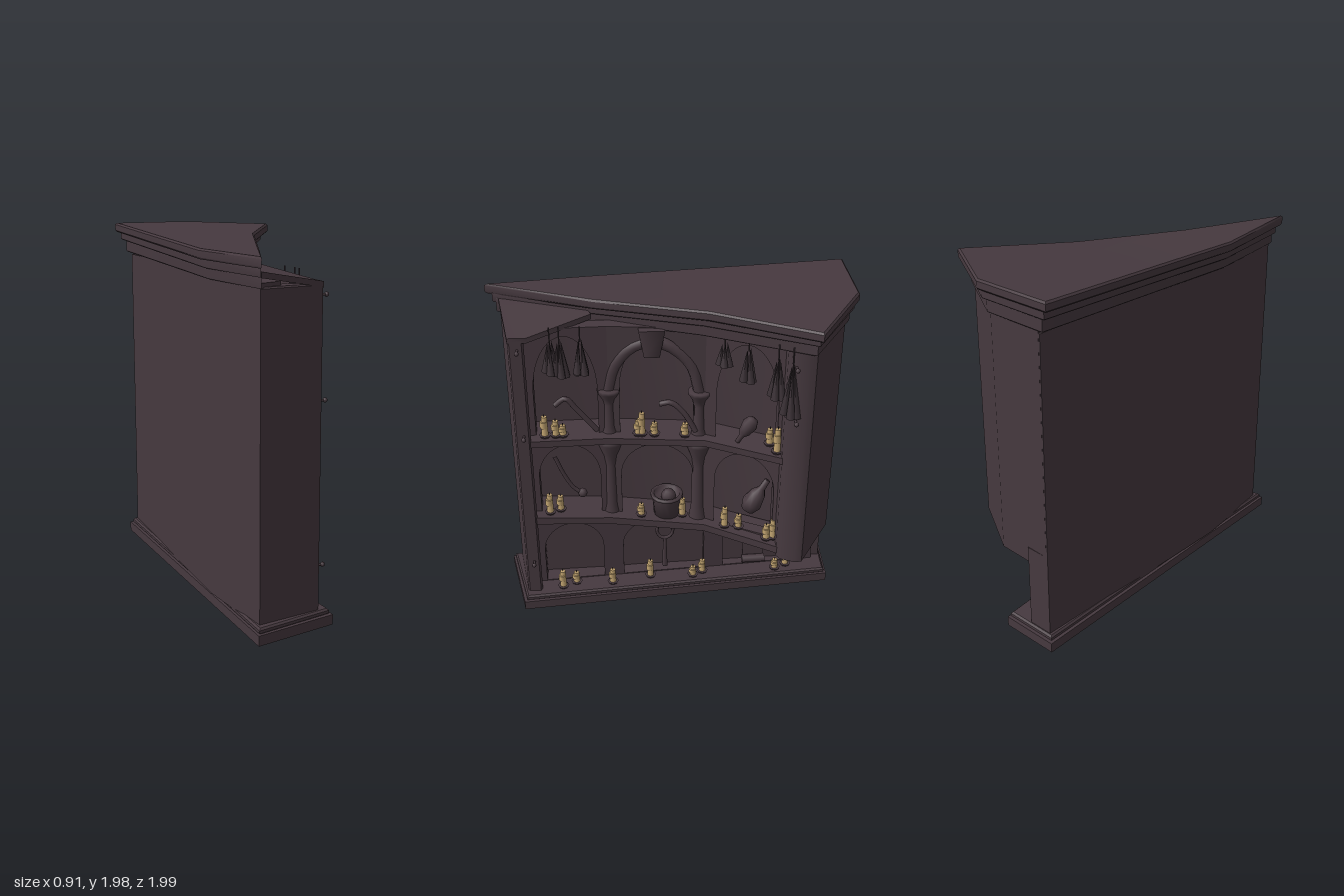
import * as THREE from 'three';
import { toCreasedNormals } from 'three/addons/utils/BufferGeometryUtils.js';

const mat = (name, color) => {
  const m = new THREE.MeshStandardMaterial({ color });
  m.name = name;
  return m;
};

export function createModel() {
  const root = new THREE.Group();
  root.name = 'crookedShelfCabinet';
  const wood = mat('dark plum wood', 0x46393f);
  const dark = mat('dried dark herbs', 0x3d3338);
  const wax = mat('candle wax', 0xc4a672);

  const add = (name, geo, material, x = 0, y = 0, z = 0, parent = root) => {
    const m = new THREE.Mesh(geo, material);
    m.name = name;
    m.position.set(x, y, z);
    parent.add(m);
    return m;
  };
  // Upright prism over a plan outline of [x, z] points, with optional lift(z, x), bevel and hole
  const prism = (name, pts, y0, y1, { lift = () => 0, bevel = 0, hole = null } = {}) => {
    const plan = (list) => list.map(([x, z]) => new THREE.Vector2(x, -z));
    const s = new THREE.Shape(plan(pts));
    if (hole) s.holes.push(new THREE.Path(plan(hole)));
    const g = new THREE.ExtrudeGeometry(s, {
      depth: y1 - y0 - 2 * bevel, bevelEnabled: bevel > 0,
      bevelSize: bevel, bevelOffset: -bevel, bevelThickness: bevel, bevelSegments: 1,
    });
    g.rotateX(-Math.PI / 2).translate(0, y0 + bevel, 0);
    const p = g.attributes.position;
    for (let i = 0; i < p.count; i++) p.setY(i, p.getY(i) + lift(p.getZ(i), p.getX(i)));
    g.computeVertexNormals();
    return add(name, toCreasedNormals(g, 0.65), wood);
  };

  // Front line of the bent upper case and of the straight lower case
  const knots = [[0.85, 0.04], [0.33, 0.02], [-0.2, 0.07], [-0.72, 0.33]];
  const upper = (z) => {
    let i = 0;
    while (i < 2 && z < knots[i + 1][0]) i++;
    const [z0, x0] = knots[i], [z1, x1] = knots[i + 1];
    return x0 + (x1 - x0) * (z - z0) / (z1 - z0);
  };
  const lower = (z) => 0.02 + 0.09 * z;
  const stations = [0.85, 0.33, -0.2, -0.64];
  const back = [[-0.37, -0.95], [-0.37, 0.4], [-0.31, 0.91]];

  // Plinth, hollow underneath
  prism('plinth', [[-0.41, -0.98], [-0.07, -0.98], [0.12, 0.87], [-0.34, 0.97]], 0, 0.055,
    { hole: [[-0.315, 0.935], [0.085, 0.845], [-0.1, -0.95], [-0.38, -0.95]] });
  prism('plinthMoulding', [[-0.395, -0.965], [-0.08, -0.965], [0.105, 0.855], [-0.33, 0.955]], 0.05, 0.085, { bevel: 0.01 });

  // Back walls, lower straight and upper bent
  prism('lowerBackWall', [...back, [lower(0.85) - 0.24, 0.85], [lower(-0.95) - 0.16, -0.95]], 0.07, 0.56);
  prism('upperBackWall', [...back, ...stations.map((z) => [upper(z) - 0.22, z]), [-0.1, -0.93]], 0.55, 1.79);

  // Hanging corner case and upright end panel
  prism('cornerCase', [[0.265, -0.6], [0.3, -0.62], [0.335, -0.7], [0.33, -0.74], [-0.02, -0.94],
    [-0.36, -0.95], [-0.33, -0.7], [0.05, -0.6]], 0.47, 1.86);
  prism('endPanel', [[-0.31, 0.91], [0.04, 0.85], [0.05, 0.84], [0.05, 0.775], [0.03, 0.765], [-0.31, 0.8]], 0.07, 1.77, { bevel: 0.008 });

  // Roof and stepped cornice, rising towards the back end
  const rise = (z) => Math.max(0, (0.4 - z) / 1.4) * 0.06;
  prism('roof', [[-0.46, -0.99], [0, -1], [0.45, -0.74], [0.13, -0.2], [-0.1, 0.4], [-0.34, 0.99], [-0.43, 0.4]],
    1.865, 1.92, { lift: rise, bevel: 0.01 });
  prism('upperCornice', [[-0.43, -0.975], [-0.01, -0.98], [0.4, -0.735], [0.09, -0.18], [-0.13, 0.38], [-0.325, 0.95], [-0.4, 0.4]],
    1.82, 1.875, { lift: rise, bevel: 0.005 });
  prism('lowerCornice', [[-0.4, -0.96], [-0.02, -0.96], [0.365, -0.73], [0.07, -0.17], [-0.15, 0.37], [-0.315, 0.93], [-0.385, 0.4]],
    1.765, 1.845, { lift: (z) => rise(z) * 0.7, bevel: 0.005 });
  // Sloping soffit from the roof down to the end panel
  prism('endSoffit', [[-0.31, 0.915], [0.05, 0.85], [0.05, 0.75], [-0.11, 0.41], [-0.2, 0.45]], 1.75, 1.78,
    { lift: (z, x) => Math.min(0.065, (0.05 - x) * 0.35) });

  // Shelves
  const tilt = (z) => 0.06 * z;
  const shelfPlan = [...stations.map((z) => [upper(z), Math.min(z, 0.8)]),
    ...[...stations].reverse().map((z) => [upper(z) - 0.25, Math.min(z, 0.8)])];
  prism('topShelf', shelfPlan, 1.095, 1.135);
  prism('middleShelf', shelfPlan, 0.525, 0.57, { lift: tilt });

  // Arched niche fronts, bent along the front line
  const niche = (z0, z1, y0, y1, spring, line, setBack) => {
    const s = new THREE.Shape([[-z0, y0], [-z1, y0], [-z1, y1], [-z0, y1]].map((p) => new THREE.Vector2(...p)));
    const a = -z0 + 0.06, b = -z1 - 0.06, c = (a + b) / 2, r = (b - a) / 2, h = y1 - 0.05 - spring;
    const hole = new THREE.Path();
    hole.moveTo(a, y0 + 0.02);
    hole.lineTo(b, y0 + 0.02);
    hole.lineTo(b, spring);
    hole.absellipse(c, spring, r, h, 0, Math.PI, false);
    hole.lineTo(a, y0 + 0.02);
    s.holes.push(hole);
    const g = new THREE.ExtrudeGeometry(s, { depth: 0.08, bevelEnabled: false, curveSegments: 10 });
    const p = g.attributes.position;
    for (let i = 0; i < p.count; i++) {
      const z = -p.getX(i);
      p.setXYZ(i, line(z) - setBack + p.getZ(i), p.getY(i), z);
    }
    g.computeVertexNormals();
    add('nicheArch', toCreasedNormals(g, 0.6), wood);
  };
  for (const [a, b] of [[0.8, 0.33], [0.33, -0.2], [-0.2, -0.64]]) {
    niche(a, b, 1.11, 1.79, 1.4, upper, 0.15);
    niche(a, b, 0.53, 1.11, 0.85, upper, 0.15);
  }
  for (const [a, b] of [[0.8, 0.33], [0.33, -0.28], [-0.28, -0.9]]) niche(a, b, 0.07, 0.55, 0.32, lower, 0.21);

  // Pillars with capitals between the bays
  const pillar = new THREE.LatheGeometry([[0.06, 0], [0.045, 0.05], [0.04, 0.2], [0.05, 0.24], [0.08, 0.28], [0.08, 0.3], [0, 0.3]]
    .map((p) => new THREE.Vector2(...p)), 12);
  for (const z of [0.33, -0.17]) {
    add('upperPillar', pillar, wood, upper(z) - 0.09, 1.12, z).scale.set(0.8, 0.95, 0.8);
    add('middlePillar', pillar, wood, upper(z) - 0.09, 0.55, z).scale.set(0.8, 1.8, 0.9);
  }

  // Bent tube through [y, z] points, held in front of the back wall
  const bentTube = (name, pts, r, off) => {
    const c = new THREE.CatmullRomCurve3(pts.map(([y, z]) => new THREE.Vector3(upper(z) - off, y, z)));
    add(name, new THREE.TubeGeometry(c, 16, r, 8), wood);
  };
  // Keystone and low relief rib of the centre arch
  add('keystone', new THREE.CylinderGeometry(0.1, 0.06, 0.17, 4), wood, upper(0.09) - 0.1, 1.7, 0.09).rotation.y = Math.PI / 4;
  bentTube('archRib', [[1.4, 0.33], [1.55, 0.29], [1.66, 0.2], [1.7, 0.09], [1.66, -0.03], [1.55, -0.13], [1.4, -0.17]], 0.035, 0.09);

  // Candles: [z, height] on each level
  const candle = (x, y, z, h) => {
    const g = new THREE.Group();
    g.name = 'candle';
    g.position.set(x, y, z);
    root.add(g);
    add('waxStick', new THREE.CylinderGeometry(0.016, 0.02, h, 8), wax, 0, h / 2, 0, g);
    add('waxDrip', new THREE.CylinderGeometry(0.021, 0.022, h * 0.3, 6), wax, 0.004, h * 0.62, 0.004, g);
    add('wick', new THREE.CylinderGeometry(0.003, 0.003, 0.015, 5), dark, 0, h + 0.006, 0, g);
    add('candleDish', new THREE.CylinderGeometry(0.034, 0.026, 0.014, 8), wood, 0, 0.006, 0, g);
  };
  [[0.69, 0.13], [0.63, 0.1], [0.59, 0.07], [0.17, 0.09], [0.15, 0.14], [0.08, 0.08], [-0.09, 0.08], [-0.55, 0.1], [-0.58, 0.15]]
    .forEach(([z, h], i) => candle(upper(z) - (i === 7 ? 0.12 : 0.05), 1.135, z, h));
  [[0.69, 0.13], [0.63, 0.1], [0.16, 0.08], [-0.08, 0.12], [-0.32, 0.13], [-0.4, 0.09], [-0.55, 0.1], [-0.59, 0.13]]
    .forEach(([z, h], i) => candle(upper(z) - 0.05 - (i % 2) * 0.03, 0.57 + tilt(z), z, h));
  [[0.64, 0.12], [0.56, 0.08], [0.34, 0.1], [0.11, 0.12], [-0.15, 0.07], [-0.21, 0.09], [-0.66, 0.07], [-0.73, 0.1]]
    .forEach(([z, h], i) => candle(lower(z) - 0.06 - (i % 2) * 0.03, 0.083, z, h));

  // Hanging herb bundles: [z, bottom]
  const leaf = new THREE.ConeGeometry(0.024, 1, 5);
  for (const [z, y] of [[0.63, 1.54], [0.58, 1.52], [0.47, 1.53], [-0.29, 1.62], [-0.41, 1.55], [-0.55, 1.5], [-0.62, 1.4]]) {
    const x = upper(z) + (z < -0.5 ? 0.03 : -0.01), h = 1.76 - y;
    add('herbString', new THREE.CylinderGeometry(0.004, 0.004, 0.09, 5), dark, x, 1.78, z);
    for (let i = 0; i < 4; i++) {
      const a = i * Math.PI / 2 + z * 5;
      const m = add('herbLeaf', leaf, dark, x + 0.016 * Math.cos(a), y + h / 2, z + 0.02 * Math.sin(a));
      m.scale.y = h * (1 - 0.07 * i);
      m.rotation.set(-0.1 * Math.sin(a), 0, 0.1 * Math.cos(a));
    }
  }

  // Tools leaning in the niches
  bentTube('sickle', [[1.31, 0.63], [1.35, 0.57], [1.28, 0.51], [1.14, 0.4]], 0.016, 0.09);
  bentTube('hook', [[1.33, 0.05], [1.34, -0.01], [1.28, -0.08], [1.16, -0.15]], 0.016, 0.06);
  bentTube('poker', [[0.97, 0.65], [0.84, 0.6], [0.75, 0.55], [0.7, 0.49]], 0.012, 0.1);
  add('pokerHead', new THREE.SphereGeometry(0.028, 8, 6), wood, upper(0.5) - 0.1, 0.71, 0.5);

  // Pot, bottle, pouch
  add('pot', new THREE.LatheGeometry([[0, 0], [0.075, 0], [0.085, 0.12], [0.095, 0.125], [0.095, 0.14], [0.075, 0.14], [0.07, 0.1], [0, 0.1]]
    .map((p) => new THREE.Vector2(...p)), 14), wood, upper(0.01) - 0.1, 0.57, 0.01);
  add('potFilling', new THREE.SphereGeometry(0.045, 8, 6), wood, upper(0) - 0.1, 0.69, 0);
  const flask = new THREE.LatheGeometry([[0, -0.11], [0.04, -0.1], [0.06, -0.05], [0.045, 0.02], [0.02, 0.06], [0.018, 0.12], [0, 0.12]]
    .map((p) => new THREE.Vector2(...p)), 10);
  add('bottle', flask, wood, upper(-0.5) - 0.08, 0.8, -0.49).rotation.x = -0.5;
  const pouch = add('pouch', flask, wood, upper(-0.42) - 0.08, 1.22, -0.42);
  pouch.scale.setScalar(0.75);
  pouch.rotation.x = 2.6;

  // Hand mirror and lower scroll
  const mx = lower(0.02) - 0.11;
  const ring = add('mirrorRing', new THREE.TorusGeometry(0.048, 0.01, 6, 14), wood, mx, 0.41, 0.02);
  ring.rotation.y = Math.PI / 2;
  ring.scale.y = 1.2;
  add('mirrorHandle', new THREE.CylinderGeometry(0.01, 0.017, 0.21, 7), wood, mx, 0.25, 0.02);
  for (const y of [0.13, 0.33]) add('scroll', new THREE.CylinderGeometry(0.025, 0.025, 0.14, 8), wood, lower(-0.53) - 0.12, y, -0.53).rotation.x = Math.PI / 2 + 0.04;
  add('scrollSheet', new THREE.BoxGeometry(0.008, 0.22, 0.13), wood, lower(-0.53) - 0.14, 0.23, -0.53);

  // Pegs on the posts
  const peg = (x, y, z) => {
    add('pegShaft', new THREE.CylinderGeometry(0.007, 0.007, 0.05, 6), wood, x, y, z).rotation.z = Math.PI / 2;
    add('pegHead', new THREE.SphereGeometry(0.013, 8, 6), wood, x + 0.025, y, z);
  };
  for (const y of [0.31, 1.18, 1.71]) peg(0.065, y, 0.8);
  peg(0.335, 1.4, -0.65);
  peg(0.32, 1.71, -0.64);
  return root;
}
